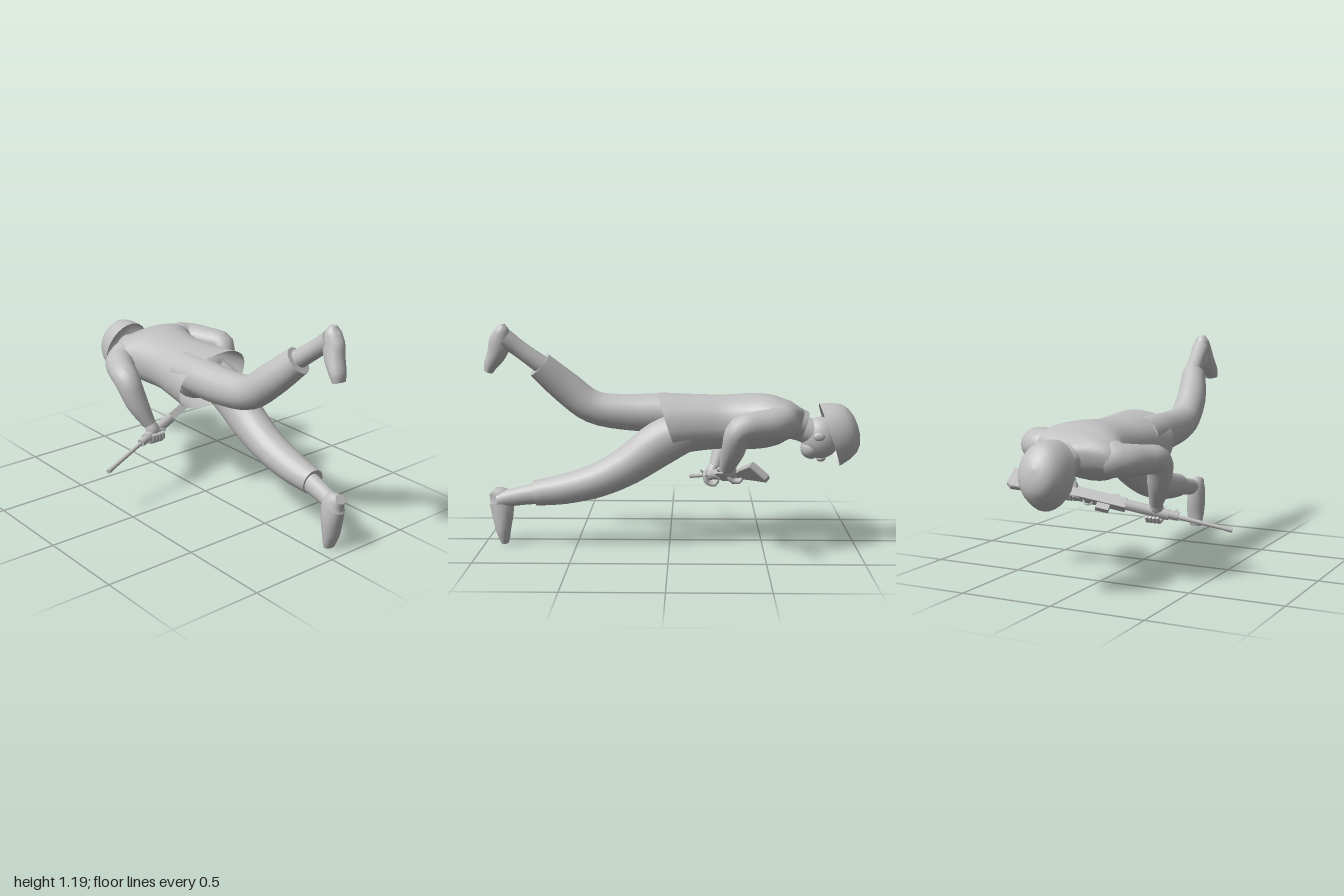
import * as THREE from 'three';

const V = (x, y, z) => new THREE.Vector3(x, y, z);

// Tube of elliptical rings through sections [x, y, z, sideRadius, otherRadius]
function loft(sections, { ref = V(1, 0, 0), sides = 20, steps = 4, caps = true, power = 1, warp } = {}) {
  const centres = new THREE.CatmullRomCurve3(sections.map(s => V(s[0], s[1], s[2])));
  const radii = new THREE.CatmullRomCurve3(sections.map(s => V(s[3], s[4] ?? s[3], 0)));
  const n = (sections.length - 1) * steps, pos = [], idx = [];
  const bend = c => Math.sign(c) * Math.abs(c) ** power;
  let a = ref.clone();
  for (let i = 0; i <= n; i++) {
    const u = i / n, c = centres.getPoint(u), r = radii.getPoint(u), t = centres.getTangent(u);
    a = a.clone().addScaledVector(t, -a.dot(t)).normalize();
    const b = t.clone().cross(a);
    for (let j = 0; j < sides; j++) {
      const th = j / sides * Math.PI * 2;
      const p = c.clone().addScaledVector(a, r.x * bend(Math.cos(th))).addScaledVector(b, r.y * bend(Math.sin(th)));
      if (warp) warp(p, u);
      pos.push(p.x, p.y, p.z);
      if (i < n) {
        const k = (j + 1) % sides, A = i * sides + j, B = i * sides + k;
        idx.push(A, B, A + sides, B, B + sides, A + sides);
      }
    }
  }
  if (caps) for (const end of [0, n]) {
    const base = pos.length / 3, mid = V(0, 0, 0);
    for (let j = 0; j < sides; j++) {
      const o = (end * sides + j) * 3;
      pos.push(pos[o], pos[o + 1], pos[o + 2]);
      mid.add(V(pos[o], pos[o + 1], pos[o + 2]));
    }
    mid.divideScalar(sides);
    pos.push(mid.x, mid.y, mid.z);
    for (let j = 0; j < sides; j++) {
      const k = (j + 1) % sides;
      idx.push(base + sides, base + (end ? j : k), base + (end ? k : j));
    }
  }
  const g = new THREE.BufferGeometry();
  g.setAttribute('position', new THREE.Float32BufferAttribute(pos, 3));
  g.setIndex(idx);
  g.computeVertexNormals();
  return g;
}

export function createModel() {
  const model = new THREE.Group();
  const grey = new THREE.MeshStandardMaterial({ color: 0xc0c0c0, side: THREE.DoubleSide });
  grey.name = 'plainGrey';
  const add = (name, geo, parent = model) => {
    const m = new THREE.Mesh(geo, grey);
    m.name = name;
    parent.add(m);
    return m;
  };
  const ball = (name, c, r) => {
    const m = add(name, new THREE.SphereGeometry(1, 20, 14));
    m.position.set(...c);
    m.scale.set(...r);
    return m;
  };

  // Jacket, open at the slanted hem and rolled a little towards its right
  add('jacket', loft([
    [0.045, 0.655, 0.0, 0.22, 0.165], [0.045, 0.66, -0.15, 0.2, 0.152],
    [0.05, 0.665, -0.3, 0.185, 0.145], [0.06, 0.67, -0.45, 0.205, 0.15],
    [0.07, 0.675, -0.56, 0.25, 0.135], [0.075, 0.675, -0.635, 0.25, 0.105],
    [0.08, 0.66, -0.705, 0.085, 0.07],
  ], {
    ref: V(Math.cos(0.12), Math.sin(0.12), 0), sides: 32, power: 0.88, caps: false,
    warp: (p, u) => { p.z += (p.y - 0.64) * 0.3 * Math.max(0, 1 - u * 4); },
  }));
  ball('pelvis', [0.045, 0.65, -0.09], [0.17, 0.12, 0.1]);
  add('collar', loft([[0.08, 0.665, -0.67, 0.1, 0.085], [0.08, 0.648, -0.72, 0.085, 0.078]],
    { sides: 24, steps: 2, caps: false }));

  // Head and neck
  add('neck', loft([[0.08, 0.66, -0.62, 0.08], [0.082, 0.635, -0.7, 0.07], [0.083, 0.6, -0.79, 0.072]]));
  ball('head', [0.083, 0.585, -0.805], [0.083, 0.112, 0.105]);
  ball('jaw', [0.083, 0.53, -0.757], [0.064, 0.06, 0.058]);
  ball('nose', [0.083, 0.472, -0.81], [0.015, 0.018, 0.025]);
  for (const s of [-1, 1]) ball('ear', [0.083 + s * 0.082, 0.6, -0.79], [0.012, 0.022, 0.03]);

  // Helmet with a flared brim
  const dome = [[1, 0], [0.95, 0.035], [0.89, 0.07], [0.77, 0.11], [0.58, 0.138], [0.32, 0.154], [0, 0.16]];
  const helmet = add('helmet', new THREE.LatheGeometry(dome.map(p => new THREE.Vector2(...p)), 28));
  helmet.scale.set(0.142, 1, 0.177);
  helmet.rotation.x = -1.245;
  helmet.position.set(0.083, 0.6, -0.852);

  // Trouser legs: right one raised, left one lowered
  add('rightTrouserLeg', loft([
    [-0.04, 0.7, -0.12, 0.11, 0.1], [-0.05, 0.7, 0.05, 0.105, 0.105], [-0.05, 0.7, 0.22, 0.095, 0.1],
    [-0.045, 0.73, 0.42, 0.088, 0.09], [-0.03, 0.835, 0.56, 0.083, 0.088], [0.015, 0.965, 0.7, 0.068, 0.075],
  ]));
  add('leftTrouserLeg', loft([
    [0.13, 0.64, -0.12, 0.11, 0.105], [0.14, 0.565, 0.04, 0.105, 0.12], [0.14, 0.44, 0.22, 0.1, 0.105],
    [0.135, 0.36, 0.38, 0.092, 0.093], [0.13, 0.31, 0.56, 0.083, 0.082], [0.125, 0.285, 0.72, 0.066, 0.069],
  ]));

  // Boots: a narrow shaft and a foot running from heel to toe
  add('rightBootShaft', loft([[0.025, 0.96, 0.68, 0.05], [0.04, 1.05, 0.8, 0.046], [0.05, 1.11, 0.88, 0.052]]));
  add('rightFoot', loft([
    [0.05, 1.185, 0.893, 0.02, 0.015], [0.05, 1.15, 0.893, 0.042, 0.042], [0.045, 1.09, 0.905, 0.048, 0.06],
    [0.035, 1.03, 0.925, 0.05, 0.053], [0.022, 0.965, 0.962, 0.046, 0.038], [0.02, 0.928, 0.975, 0.038, 0.024],
  ]));
  add('leftBootShaft', loft([[0.12, 0.285, 0.69, 0.05, 0.058], [0.105, 0.262, 0.82, 0.044, 0.05], [0.09, 0.24, 0.92, 0.048, 0.045]]));
  add('leftFoot', loft([
    [0.088, 0.288, 0.955, 0.03, 0.028], [0.085, 0.245, 0.915, 0.048, 0.068], [0.085, 0.17, 0.905, 0.055, 0.06],
    [0.088, 0.08, 0.902, 0.053, 0.042], [0.085, 0.03, 0.897, 0.044, 0.03], [0.083, 0.002, 0.895, 0.035, 0.02],
  ]));

  // Sleeves
  add('leftSleeve', loft([
    [0.22, 0.69, -0.58, 0.085], [0.315, 0.695, -0.57, 0.085], [0.385, 0.69, -0.46, 0.077],
    [0.425, 0.675, -0.365, 0.07], [0.37, 0.56, -0.33, 0.06], [0.285, 0.45, -0.3, 0.038],
  ], { ref: V(0, 1, 0) }));
  add('rightSleeve', loft([
    [-0.07, 0.66, -0.58, 0.085], [-0.155, 0.65, -0.57, 0.085], [-0.225, 0.64, -0.46, 0.077],
    [-0.262, 0.625, -0.365, 0.072], [-0.24, 0.5, -0.305, 0.062], [-0.195, 0.375, -0.25, 0.036],
  ], { ref: V(0, 1, 0) }));

  // Rifle, laid out along its own x axis from muzzle to butt
  const muzzle = V(-0.57, 0.245, -0.115);
  const along = V(1.13, 0.245, -0.34).normalize();
  const side = along.clone().cross(V(0, 0.65, 0.75)).normalize();
  const up = side.clone().cross(along);
  const rifle = new THREE.Group();
  rifle.name = 'rifle';
  rifle.applyMatrix4(new THREE.Matrix4().makeBasis(along, up, side).setPosition(muzzle));
  model.add(rifle);
  const rod = (name, x0, x1, y, r, n = 12) =>
    add(name, new THREE.CylinderGeometry(r, r, x1 - x0, n).rotateZ(Math.PI / 2).translate((x0 + x1) / 2, y, 0), rifle);
  const block = (name, x0, x1, y0, y1, w) =>
    add(name, new THREE.BoxGeometry(x1 - x0, y1 - y0, w).translate((x0 + x1) / 2, (y0 + y1) / 2, 0), rifle);
  rod('barrel', 0, 0.36, 0, 0.011);
  rod('muzzleSleeve', 0, 0.04, 0, 0.013);
  rod('gasBlock', 0.29, 0.36, 0.004, 0.022);
  block('frontSight', 0.3, 0.315, 0.01, 0.045, 0.01);
  rod('handguard', 0.34, 0.58, 0, 0.029, 10);
  block('receiver', 0.57, 0.84, -0.034, 0.028, 0.045);
  block('rearSight', 0.62, 0.65, 0.02, 0.045, 0.02);
  block('magazine', 0.65, 0.72, -0.07, -0.03, 0.03);
  const guard = add('triggerGuard', new THREE.TorusGeometry(0.024, 0.005, 6, 14, Math.PI), rifle);
  guard.rotation.z = Math.PI;
  guard.position.set(0.77, -0.032, 0);
  const outline = new THREE.Shape([
    [0.82, 0.024], [0.88, 0.012], [1.0, 0.03], [1.2, 0.052], [1.207, -0.045],
    [1.185, -0.062], [1.0, -0.04], [0.88, -0.03], [0.82, -0.034],
  ].map(p => new THREE.Vector2(...p)));
  add('stock', new THREE.ExtrudeGeometry(outline, {
    depth: 0.024, bevelSize: 0.005, bevelThickness: 0.006, bevelSegments: 1,
  }).translate(0, 0, -0.012), rifle);

  // Hands: palm, curled fingers and thumb
  const hand = (name, wrist, palm, grip, s) => {
    add(name + 'Palm', loft([[...wrist, 0.03], [...palm, 0.04, 0.034], [...grip, 0.03, 0.024]], { sides: 14 }));
    for (let i = 0; i < 4; i++) {
      const [x, y, z] = grip, o = (i - 1.5) * 0.021;
      add(name + 'Finger', loft([
        [x + o, y + 0.02, z + 0.03, 0.012], [x + o, y - 0.025, z + 0.015, 0.012],
        [x + o, y - 0.035, z - 0.025, 0.011], [x + o, y - 0.01, z - 0.045, 0.009],
      ], { sides: 8, steps: 3 }));
    }
    add(name + 'Thumb', loft([
      [...palm, 0.018], [palm[0] + s * 0.045, palm[1] - 0.01, palm[2] + 0.01, 0.015],
      [grip[0] + s * 0.06, grip[1] + 0.015, grip[2] + 0.005, 0.01],
    ], { sides: 8 }));
  };
  hand('rightHand', [-0.197, 0.39, -0.253], [-0.188, 0.345, -0.23], [-0.178, 0.315, -0.222], 1);
  hand('leftHand', [0.295, 0.46, -0.302], [0.275, 0.438, -0.315], [0.255, 0.418, -0.34], -1);

  return model;
}
